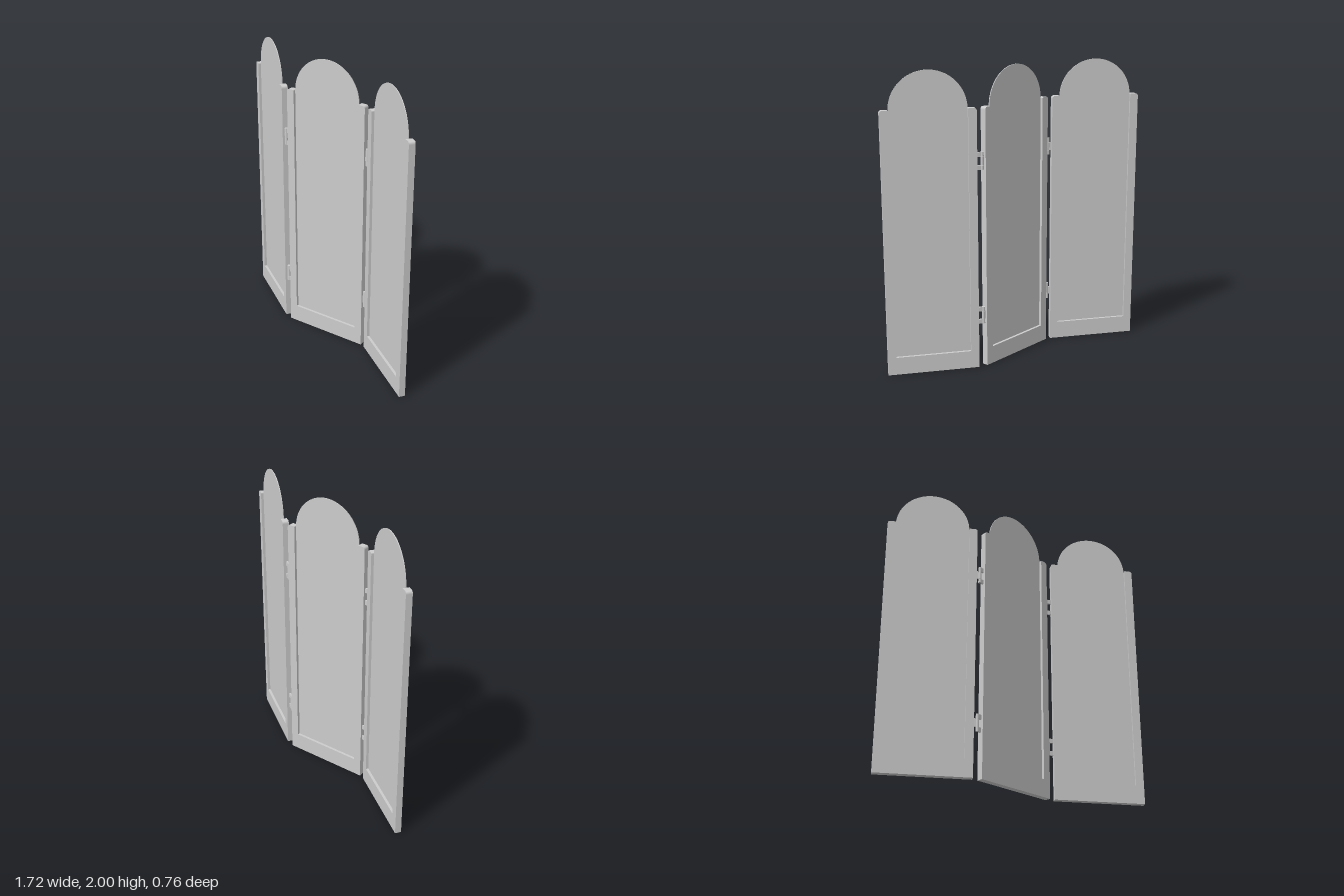
import * as THREE from 'three';

const W = 0.305;        // half panel width
const INNER = 0.25;     // half width between stiles
const STILE_TOP = 1.757;
const RAIL = 0.12;
const THICK = 0.042;
const ANGLE = THREE.MathUtils.degToRad(35);

const material = new THREE.MeshStandardMaterial({ color: 0xcccccc });

function addMesh(parent, name, geometry, x = 0, y = 0, z = 0) {
  const mesh = new THREE.Mesh(geometry, material);
  mesh.name = name;
  mesh.position.set(x, y, z);
  parent.add(mesh);
  return mesh;
}

function extrudeCentred(shape, depth) {
  return new THREE.ExtrudeGeometry(shape, { depth, bevelEnabled: false, curveSegments: 32 })
    .translate(0, 0, -depth / 2);
}

// U-shaped frame: two stiles with rounded tops joined by a bottom rail
function frameGeometry() {
  const r = 0.02, q = 0.008;
  const s = new THREE.Shape();
  s.moveTo(-W, 0);
  s.lineTo(W, 0);
  s.lineTo(W, STILE_TOP - r);
  s.quadraticCurveTo(W, STILE_TOP, W - r, STILE_TOP);
  s.lineTo(INNER + q, STILE_TOP);
  s.quadraticCurveTo(INNER, STILE_TOP, INNER, STILE_TOP - q);
  s.lineTo(INNER, RAIL);
  s.lineTo(-INNER, RAIL);
  s.lineTo(-INNER, STILE_TOP - q);
  s.quadraticCurveTo(-INNER, STILE_TOP, -INNER - q, STILE_TOP);
  s.lineTo(-W + r, STILE_TOP);
  s.quadraticCurveTo(-W, STILE_TOP, -W, STILE_TOP - r);
  s.closePath();
  return extrudeCentred(s, THICK);
}

// Thin infill sheet with a round-arched top
function sheetGeometry() {
  const s = new THREE.Shape();
  s.moveTo(-INNER, RAIL);
  s.lineTo(INNER, RAIL);
  s.lineTo(INNER, 2 - INNER);
  s.absarc(0, 2 - INNER, INNER, 0, Math.PI, false);
  s.closePath();
  return extrudeCentred(s, 0.006);
}

// Strap from the pin to a point on a panel edge
function addStrap(parent, name, dx, dz, height, y) {
  const length = Math.hypot(dx, dz);
  const strap = addMesh(parent, name, new THREE.BoxGeometry(length, height, 0.012), dx / 2, y, dz / 2);
  strap.rotation.y = -Math.atan2(dz, dx);
}

// Hinge: one middle knuckle on the left leaf, two outer knuckles on the right leaf
function makeHinge(pinX, left, right) {
  const hinge = new THREE.Group();
  hinge.name = 'hinge';
  const parts = [[0, 0.054, left], [0.043, 0.03, right], [-0.043, 0.03, right]];
  for (const [y, height, [x, z]] of parts) {
    addMesh(hinge, 'knuckle', new THREE.CylinderGeometry(0.011, 0.011, height, 20), 0, y, 0);
    addStrap(hinge, 'hingeStrap', x - pinX, z, height, y);
  }
  addMesh(hinge, 'hingePin', new THREE.CylinderGeometry(0.005, 0.005, 0.116, 12));
  hinge.position.x = pinX;
  return hinge;
}

export function createModel() {
  const model = new THREE.Group();
  model.name = 'foldingScreen';
  const frame = frameGeometry();
  const sheet = sheetGeometry();

  // Three panels, the outer two swung to opposite sides
  for (const [name, side] of [['rightPanel', -1], ['centrePanel', 0], ['leftPanel', 1]]) {
    const panel = new THREE.Group();
    panel.name = name;
    addMesh(panel, 'frame', frame);
    addMesh(panel, 'archedSheet', sheet);
    panel.position.set(side * 0.6, 0, side * 0.19);
    if (side !== 0) panel.rotation.y = -ANGLE;
    model.add(panel);
  }

  // Two hinges in each gap
  const edge = [0.356, 0.019];
  for (const y of [0.362, 1.411]) {
    const a = makeHinge(-0.332, [-edge[0], -edge[1]], [-0.3, 0]);
    const b = makeHinge(0.317, [0.3, 0], edge);
    a.position.y = b.position.y = y;
    model.add(a, b);
  }
  return model;
}
